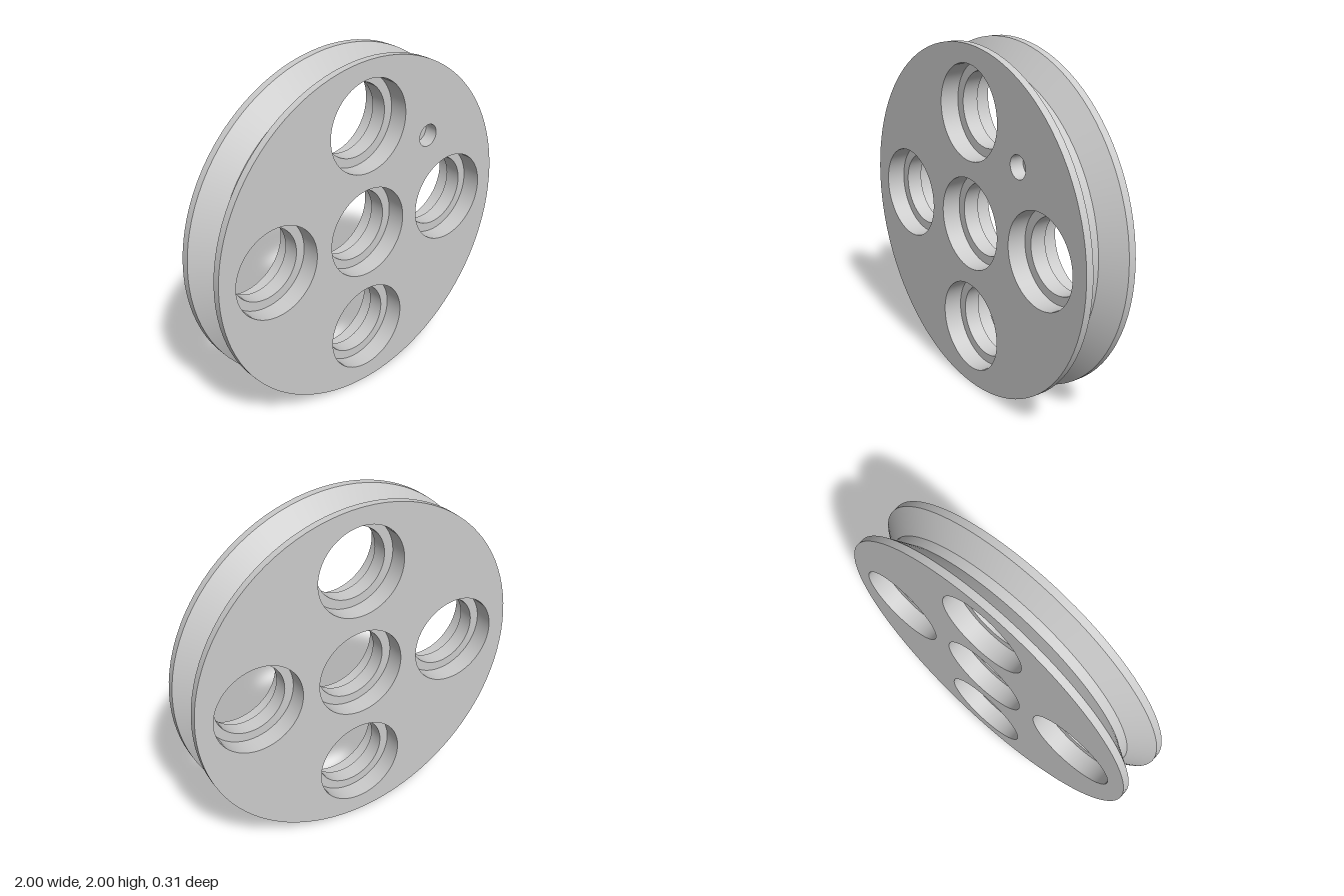
import * as THREE from 'three';
import { mergeGeometries } from 'three/addons/utils/BufferGeometryUtils.js';

const SEGMENTS = 96;
const HALF = 0.157;        // half the wheel's thickness
const BORE = 0.212;        // through-hole radius
const SEAT = 0.265;        // counterbore radius
const LEDGE = HALF - 0.11; // height of the counterbore floor
const PIN = { x: 0.445, y: 0.45, r: 0.065, depth: 0.08 };
const BORES = [[0, 0], [0.632, 0], [-0.632, 0], [0, 0.632], [0, -0.632]];

// Turns a profile of [radius, z] points about z, keeping every corner sharp
function turned(profile) {
  const bands = [];
  for (let i = 0; i < profile.length - 1; i++) {
    const pair = [profile[i], profile[i + 1]].map(([r, z]) => new THREE.Vector2(r, z));
    bands.push(new THREE.LatheGeometry(pair, SEGMENTS));
  }
  return mergeGeometries(bands).rotateX(Math.PI / 2);
}

// Flat disc pierced by round holes given as [x, y, radius]
function piercedDisc(holes) {
  const shape = new THREE.Shape().absarc(0, 0, 1, 0, Math.PI * 2, false);
  for (const [x, y, r] of holes) {
    shape.holes.push(new THREE.Path().absarc(x, y, r, 0, Math.PI * 2, true));
  }
  return new THREE.ShapeGeometry(shape, SEGMENTS / 2);
}

export function createModel() {
  const model = new THREE.Group();
  model.name = 'pulleyWheel';
  const wheel = new THREE.Group();
  wheel.name = 'wheel';
  wheel.position.y = 1;
  model.add(wheel);

  const material = new THREE.MeshStandardMaterial({ color: 0xcccccc });
  const add = (name, geometry, x = 0, y = 0, z = 0) => {
    const mesh = new THREE.Mesh(geometry, material);
    mesh.name = name;
    mesh.position.set(x, y, z);
    wheel.add(mesh);
    return mesh;
  };

  // Rim with its flat-bottomed V groove
  add('groovedRim', turned([
    [1, -HALF], [1, -0.115], [0.873, -0.027],
    [0.873, 0.027], [1, 0.115], [1, HALF],
  ]));

  // Side faces; only the front one has the pin hole
  const seats = BORES.map(([x, y]) => [x, y, SEAT]);
  add('frontFace', piercedDisc([...seats, [PIN.x, PIN.y, PIN.r]]), 0, 0, HALF);
  add('backFace', piercedDisc(seats), 0, 0, -HALF).rotation.y = Math.PI;

  // Bores counterbored from both sides
  const bore = turned([
    [SEAT, HALF], [SEAT, LEDGE], [BORE, LEDGE],
    [BORE, -LEDGE], [SEAT, -LEDGE], [SEAT, -HALF],
  ]);
  BORES.forEach(([x, y], i) => add(i === 0 ? 'centreBore' : `outerBore${i}`, bore, x, y));

  // Small blind pin hole
  const floor = HALF - PIN.depth;
  add('pinHole', turned([[PIN.r, HALF], [PIN.r, floor], [0, floor]]), PIN.x, PIN.y);

  return model;
}
